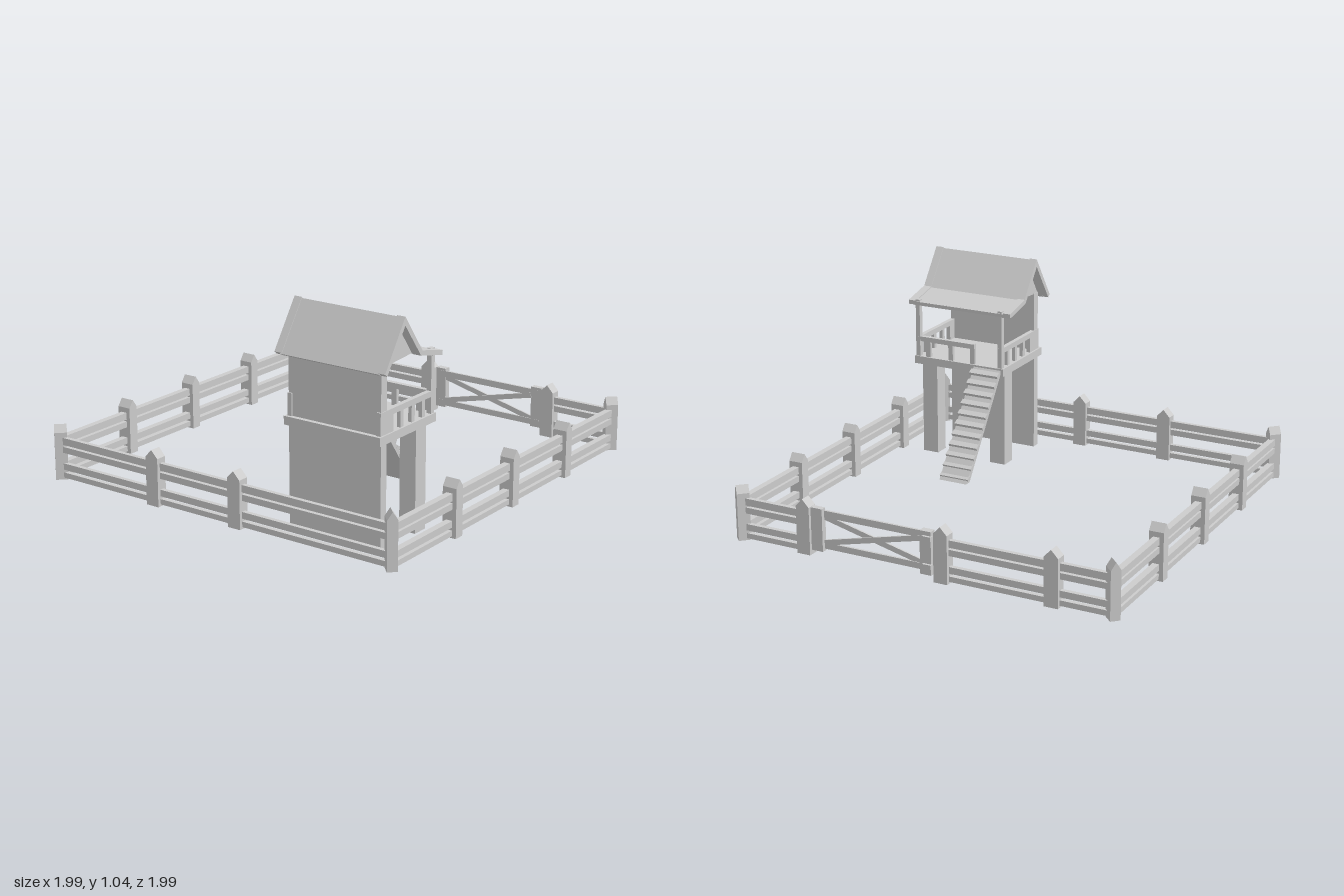
import * as THREE from 'three';

const mat = new THREE.MeshStandardMaterial({ color: 0xcccccc, flatShading: true });

function add(parent, name, geo, x = 0, y = 0, z = 0) {
  const m = new THREE.Mesh(geo, mat);
  m.name = name;
  m.position.set(x, y, z);
  parent.add(m);
  return m;
}

// Box given by its limits on each axis
function box(parent, name, x0, x1, y0, y1, z0, z1) {
  return add(parent, name, new THREE.BoxGeometry(x1 - x0, y1 - y0, z1 - z0),
    (x0 + x1) / 2, (y0 + y1) / 2, (z0 + z1) / 2);
}

// Outline in the xy plane, extruded from z0 to z1
function slab(parent, name, pts, z0, z1) {
  const shape = new THREE.Shape(pts.map(p => new THREE.Vector2(p[0], p[1])));
  const geo = new THREE.ExtrudeGeometry(shape, { depth: z1 - z0, bevelEnabled: false });
  return add(parent, name, geo, 0, 0, z0);
}

// Post with a peaked top, ridge along its local z
function post(parent, name, x, z, turn, w, d) {
  const h = w / 2;
  const m = slab(parent, name, [[-h, 0], [h, 0], [h, 0.235], [0, 0.272], [-h, 0.235]], 0, d);
  m.geometry.translate(0, 0, -d / 2);
  m.position.set(x, 0, z);
  m.rotation.y = turn;
}

const E = 0.955; // fence line
const RAILS = [[0.01, 0.036], [0.05, 0.082], [0.135, 0.165], [0.175, 0.21]];

function buildFence() {
  const g = new THREE.Group();
  g.name = 'fence';
  // Corner posts, turned to face diagonally
  for (const sx of [-1, 1]) for (const sz of [-1, 1])
    post(g, 'cornerPost', sx * E, sz * E, sx * sz * Math.PI / 4, 0.048, 0.06);
  // Front and back runs
  for (const s of [-1, 1]) {
    for (const x of [-0.48, 0, 0.48]) post(g, 'fencePost', x, s * E, 0, 0.053, 0.072);
    for (const [a, b] of RAILS)
      box(g, 'fenceRail', -0.94, 0.94, a, b, s * E - 0.016, s * E + 0.016);
  }
  // Left run, and right run with the gate opening
  for (const z of [-0.36, 0.12]) post(g, 'fencePost', -E, z, Math.PI / 2, 0.07, 0.055);
  for (const z of [-0.67, -0.12, 0.604]) post(g, 'fencePost', E, z, Math.PI / 2, 0.07, 0.055);
  for (const [a, b] of RAILS) {
    box(g, 'fenceRail', -E - 0.011, -E + 0.011, a, b, -0.94, 0.94);
    box(g, 'fenceRail', E - 0.011, E + 0.011, a, b, -0.94, -0.12);
    box(g, 'fenceRail', E - 0.011, E + 0.011, a, b, 0.604, 0.94);
  }
  return g;
}

function buildGate() {
  const g = new THREE.Group();
  g.name = 'gate';
  // Stiles and rails
  box(g, 'gateStile', 0.95, 0.98, 0.03, 0.24, 0.5, 0.56);
  box(g, 'gateStile', 0.95, 0.985, 0.03, 0.24, -0.075, -0.018);
  box(g, 'gateRail', 0.949, 0.961, 0.195, 0.228, -0.07, 0.55);
  box(g, 'gateRail', 0.949, 0.961, 0.04, 0.07, -0.07, 0.55);
  // Crossed braces
  const dz = 0.52, dy = 0.125;
  for (const s of [-1, 1]) {
    const b = add(g, 'gateBrace', new THREE.BoxGeometry(0.01, 0.026, Math.hypot(dz, dy)),
      0.955 + s * 0.003, 0.132, 0.24);
    b.rotation.x = s * Math.atan2(dy, dz);
  }
  // Hinges
  for (const y of [0.075, 0.21]) box(g, 'gateHinge', 0.975, 0.998, y - 0.01, y + 0.01, -0.08, -0.035);
  return g;
}

function buildTower() {
  const g = new THREE.Group();
  g.name = 'tower';
  // Full-height wall, legs and deck
  box(g, 'leftWall', -0.835, -0.793, 0, 0.84, 0.322, 0.815);
  box(g, 'leg', -0.56, -0.48, 0, 0.5, 0.725, 0.81);
  box(g, 'leg', -0.56, -0.48, 0, 0.5, 0.33, 0.415);
  box(g, 'deck', -0.857, -0.425, 0.495, 0.535, 0.31, 0.825);
  // Front and back railings
  for (const z of [0.32, 0.795]) {
    box(g, 'handrail', -0.842, -0.43, 0.613, 0.64, z, z + 0.023);
    box(g, 'railPanel', -0.842, -0.745, 0.53, 0.614, z, z + 0.022);
    for (const x of [-0.678, -0.591, -0.51])
      box(g, 'baluster', x - 0.012, x + 0.012, 0.53, 0.614, z + 0.002, z + 0.02);
    box(g, 'porchPost', -0.457, -0.431, 0.53, 0.835, z, z + 0.023);
  }
  // Right railing, open at the ladder
  box(g, 'handrail', -0.455, -0.432, 0.615, 0.64, 0.48, 0.815);
  for (const z of [0.492, 0.618, 0.75])
    box(g, 'baluster', -0.453, -0.434, 0.53, 0.616, z - 0.013, z + 0.013);
  return g;
}

function buildRoof() {
  const g = new THREE.Group();
  g.name = 'roof';
  const band = t => [[-0.868, 0.825], [-0.72, 1.045], [-0.587, 0.865], [-0.428, 0.829],
    [-0.43, 0.829 - t], [-0.597, 0.865 - t], [-0.72, 1.045 - t * 1.8], [-0.852, 0.825 - t * 0.6]];
  // Roof sheet and heavier trim at both ends
  const sheet = band(0.016).map(([x, y]) => [x, y - 0.005]);
  slab(g, 'roofSheet', sheet, 0.3, 0.825);
  slab(g, 'roofTrim', band(0.022), 0.27, 0.31);
  slab(g, 'roofTrim', band(0.022), 0.815, 0.857);
  // Gable ends
  for (const z of [0.325, 0.79])
    slab(g, 'gable', [[-0.845, 0.833], [-0.6, 0.847], [-0.72, 1.02]], z, z + 0.02);
  // Beams under the porch roof
  box(g, 'porchBeam', -0.457, -0.432, 0.805, 0.825, 0.3, 0.825);
  return g;
}

function buildLadder() {
  const g = new THREE.Group();
  g.name = 'ladder';
  const x0 = -0.428, y0 = 0.53, x1 = -0.085, y1 = 0.035, n = 11;
  // Sloping board
  slab(g, 'ladderBoard', [[x0, y0 - 0.025], [x1 - 0.01, y1], [x1 + 0.025, y1], [x0, y0]], 0.325, 0.478);
  // Treads
  for (let i = 0; i < n; i++) {
    const t = (i + 0.5) / n;
    const s = add(g, 'tread', new THREE.BoxGeometry(0.03, 0.016, 0.16),
      x0 + (x1 - x0) * t + 0.016, y0 + (y1 - y0) * t, 0.401);
    s.rotation.z = -0.5;
  }
  return g;
}

export function createModel() {
  const model = new THREE.Group();
  model.name = 'fencedPlayTower';
  model.add(buildFence(), buildGate(), buildTower(), buildRoof(), buildLadder());
  return model;
}
